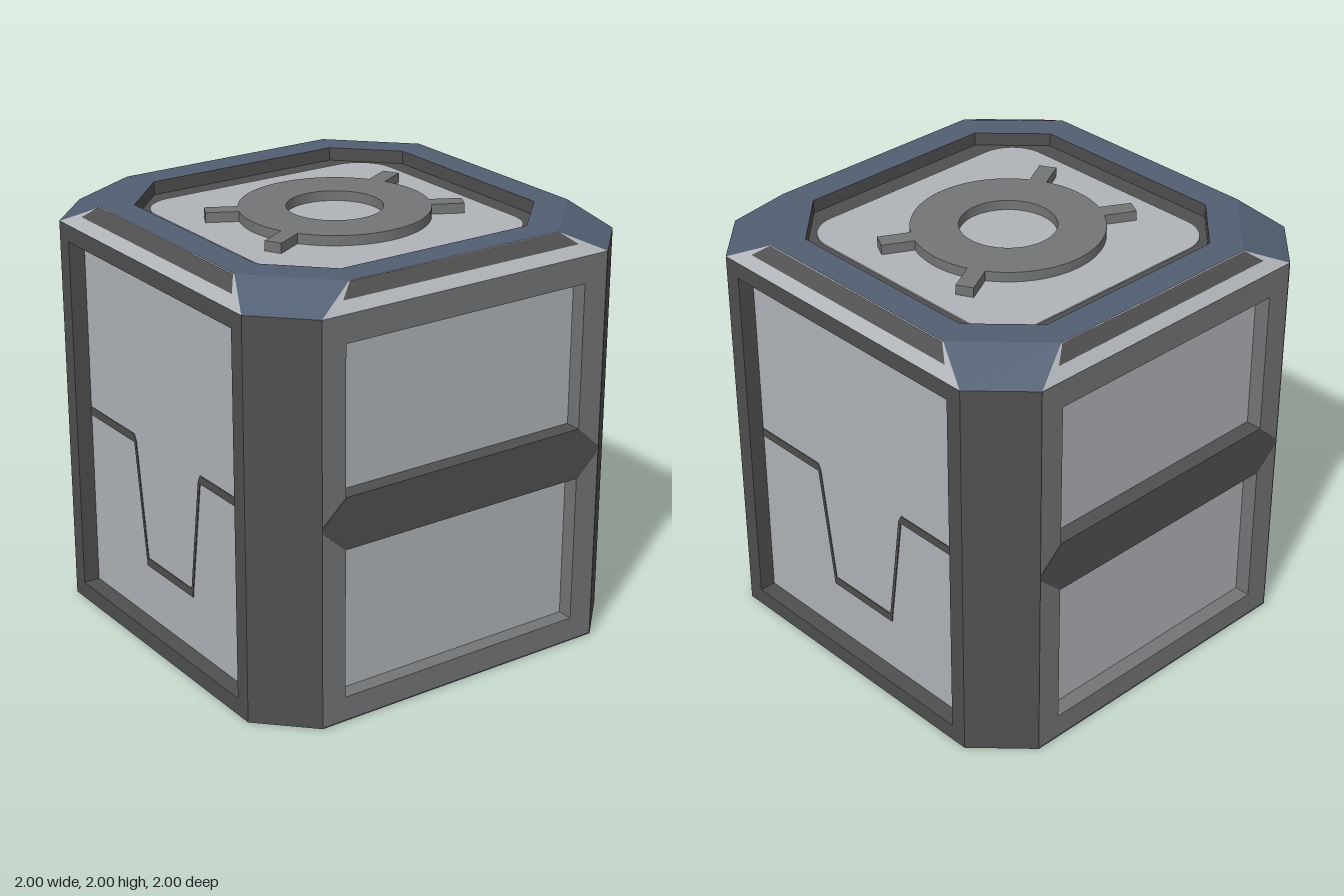
import * as THREE from 'three';

const mat = (name, color) => {
  const m = new THREE.MeshStandardMaterial({ color });
  m.name = name;
  return m;
};

export function createModel() {
  const light = mat('light grey panel', 0xb0b3b8);
  const grey = mat('mid grey metal', 0x747576);
  const dark = mat('dark grey metal', 0x4f4f4f);
  const blue = mat('slate blue', 0x525e72);
  const root = new THREE.Group();
  root.name = 'crate';

  const add = (parent, name, geo, material) => {
    const mesh = new THREE.Mesh(geo, material);
    mesh.name = name;
    parent.add(mesh);
    return mesh;
  };
  const poly = (pts) => new THREE.Shape(pts.map(([x, y]) => new THREE.Vector2(x, y)));
  const rect = (x0, y0, x1, y1) => poly([[x0, y0], [x1, y0], [x1, y1], [x0, y1]]);
  const octagon = (r, c) => poly([[c, -r], [r, -c], [r, c], [c, r], [-c, r], [-r, c], [-r, -c], [-c, -r]]);
  const extrude = (shape, depth) => new THREE.ExtrudeGeometry(shape, { depth, bevelEnabled: false, curveSegments: 32 });
  // Horizontal slab between two heights
  const slab = (shape, y0, y1) => extrude(shape, y1 - y0).rotateX(-Math.PI / 2).translate(0, y0, 0);
  const quad = (a, b, c, d) => {
    const g = new THREE.BufferGeometry();
    g.setAttribute('position', new THREE.Float32BufferAttribute([a, b, c, a, c, d].flat(), 3));
    g.computeVertexNormals();
    return g;
  };
  const rounded = (hw, hh, r) => {
    const s = new THREE.Shape();
    s.absarc(hw - r, hh - r, r, 0, Math.PI / 2);
    s.absarc(-hw + r, hh - r, r, Math.PI / 2, Math.PI);
    s.absarc(-hw + r, -hh + r, r, Math.PI, Math.PI * 1.5);
    s.absarc(hw - r, -hh + r, r, Math.PI * 1.5, Math.PI * 2);
    return s;
  };

  const C = 0.765, BASE = 0.006, H = 1.9, IN = 0.92;

  // Recessed panels come from a crossed core
  const coreH = H - BASE;
  add(root, 'frontBackPanels', new THREE.BoxGeometry(1.5, coreH, IN * 2).translate(0, BASE + coreH / 2, 0), light);
  add(root, 'sidePanels', new THREE.BoxGeometry(IN * 2, coreH, 1.5).translate(0, BASE + coreH / 2, 0), light);

  // Front and back: dark frame and stepped seam line
  const frontFrame = rect(-C, BASE, C, H);
  frontFrame.holes.push(rect(-0.685, 0.085, 0.685, 1.82));
  const upper = [[0.685, 0.99], [0.285, 0.99], [0.268, 0.96], [0.19, 0.395]];
  const lower = [[0.2, 0.355], [0.205, 0.395], [0.283, 0.95], [0.685, 0.95]];
  const rightHalf = [...upper, ...lower];
  const flip = ([x, y]) => [-x, y];
  const seam = poly([
    ...upper, ...upper.map(flip).reverse(),
    ...lower.map(flip).reverse(), ...lower,
  ]);

  // Left and right: grey frame with a dark pointed band
  const sideFrame = rect(-C, BASE, C, H);
  sideFrame.holes.push(rect(-0.642, 0.12, 0.642, 1.77));
  const band = poly([[-C, 0.945], [-0.645, 0.835], [0.645, 0.835], [C, 0.945],
    [C, 0.965], [0.64, 1.08], [-0.64, 1.08], [-C, 0.965]]);

  // Corner pillar section, in plan
  const pillar = poly([[0.765, 0.765], [1, 0.765], [0.765, 1]]);

  for (let i = 0; i < 4; i++) {
    const side = new THREE.Group();
    side.name = ['front', 'left', 'back', 'right'][i] + 'Side';
    side.rotation.y = i * Math.PI / 2;
    root.add(side);

    if (i % 2 === 0) {
      add(side, 'frontFrame', extrude(frontFrame, 1 - IN).translate(0, 0, IN), dark);
      add(side, 'seamLine', extrude(seam, 0.004).translate(0, 0, IN), dark);
    } else {
      add(side, 'sideFrame', extrude(sideFrame, 0.997 - IN).translate(0, 0, IN), grey);
      add(side, 'sideBand', extrude(band, 1 - IN).translate(0, 0, IN), dark);
    }
    add(side, 'cornerPillar', slab(pillar, BASE, H), dark);

    // Sloped top edge: light bevel, dark strip, blue corner
    add(side, 'bevel', quad([-C, H, 1], [C, H, 1], [0.56, 2, 0.9], [-0.56, 2, 0.9]), light);
    add(side, 'bevelStrip', quad([-0.63, 1.945, 0.955], [0.63, 1.945, 0.955], [0.56, 2, 0.903], [-0.56, 2, 0.903])
      .translate(0, 0, 0.003), dark);
    add(side, 'topCorner', quad([C, H, 1], [1, H, C], [0.9, 2, 0.56], [0.56, 2, 0.9]), blue);
  }

  // Top rim with dark inner wall, and the recessed lid
  const rim = octagon(0.9, 0.56);
  rim.holes.push(octagon(0.755, 0.5));
  add(root, 'topRim', slab(rim, 1.92, 2), [blue, dark]);
  add(root, 'lidFloor', slab(octagon(0.9, 0.56), H, 1.937), dark);
  add(root, 'lidPanel', slab(rounded(0.655, 0.66, 0.18), 1.937, 1.943), light);

  // Handle ring with four lugs
  const ring = new THREE.Shape();
  ring.absarc(0, 0, 0.44, 0, Math.PI * 2);
  const hole = new THREE.Path();
  hole.absarc(0, 0, 0.222, 0, Math.PI * 2, true);
  ring.holes.push(hole);
  add(root, 'handleRing', slab(ring, 1.94, 1.99), grey);
  for (const deg of [62, 118, 242, 298]) {
    const lug = add(root, 'handleLug', new THREE.BoxGeometry(0.19, 0.05, 0.082).translate(0.495, 1.965, 0), grey);
    lug.rotation.y = THREE.MathUtils.degToRad(deg);
  }

  // Underside plate and two long feet
  add(root, 'basePlate', slab(octagon(1, C), 0.003, BASE), blue);
  for (const s of [-1, 1]) {
    add(root, 'footStrip', slab(rounded(0.8, 0.05, 0.05), 0, 0.003).translate(0, 0, s * 0.76), dark);
  }
  return root;
}
